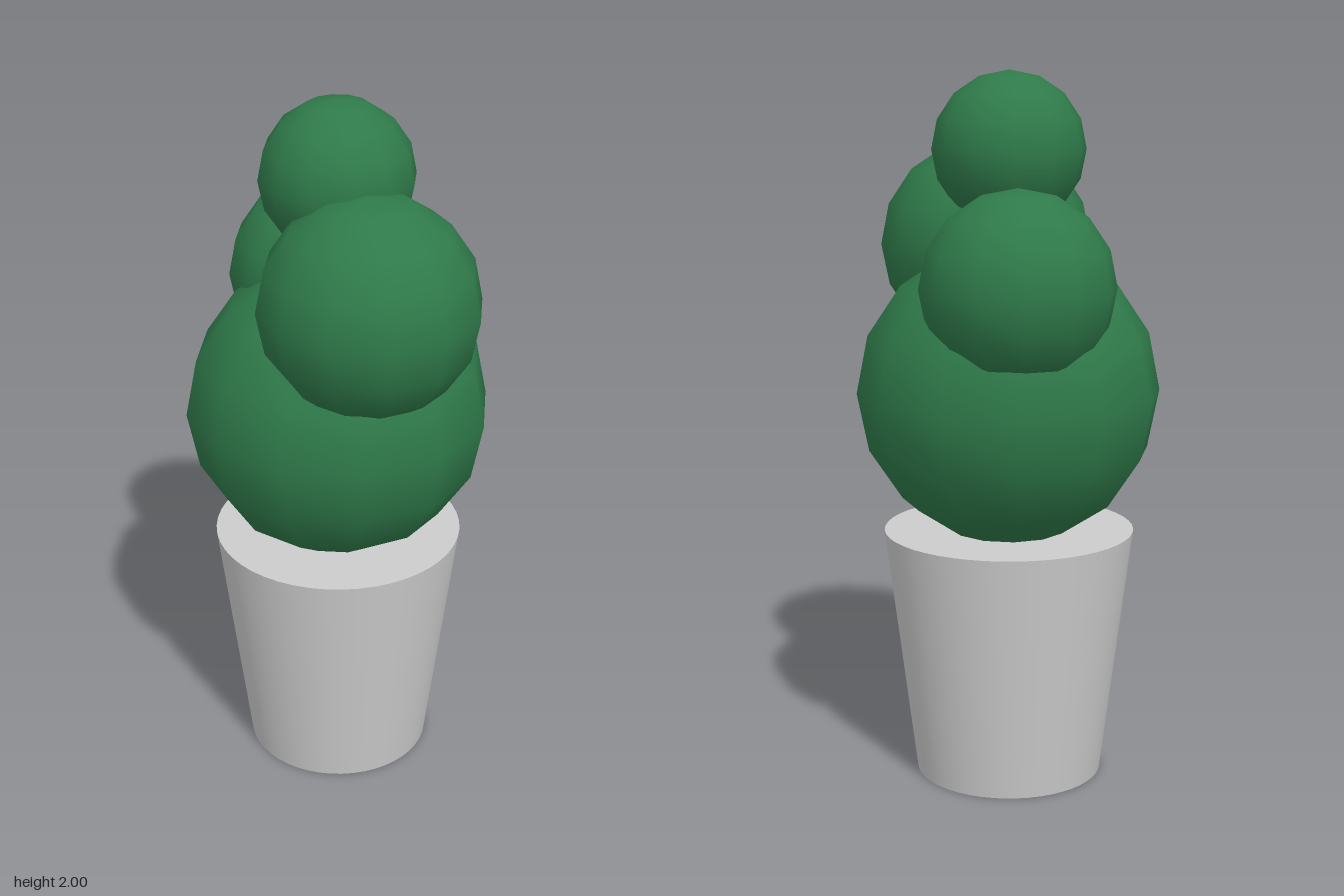
import * as THREE from 'three';

export function createModel() {
  const group = new THREE.Group();
  const axisX = -0.028;

  // Tapered, closed pot
  const pot = new THREE.Mesh(
    new THREE.CylinderGeometry(0.355, 0.266, 0.715, 48),
    new THREE.MeshStandardMaterial({ color: 0xcccccc })
  );
  pot.name = 'pot';
  pot.position.set(axisX, 0.3575, 0);
  group.add(pot);

  // Foliage: overlapping coarse spheres with smooth shading
  const green = new THREE.MeshStandardMaterial({ color: 0x2f7a4a });
  const balls = [
    ['mainFoliage', 0.428, axisX, 1.11, 0],
    ['leftFoliage', 0.303, 0.187, 1.505, 0.07],
    ['rightFoliage', 0.267, -0.225, 1.43, -0.108],
    ['topFoliage', 0.214, axisX, 1.786, 0],
  ];
  for (const [name, radius, x, y, z] of balls) {
    const ball = new THREE.Mesh(new THREE.SphereGeometry(radius, 12, 8), green);
    ball.name = name;
    ball.position.set(x, y, z);
    group.add(ball);
  }
  return group;
}
